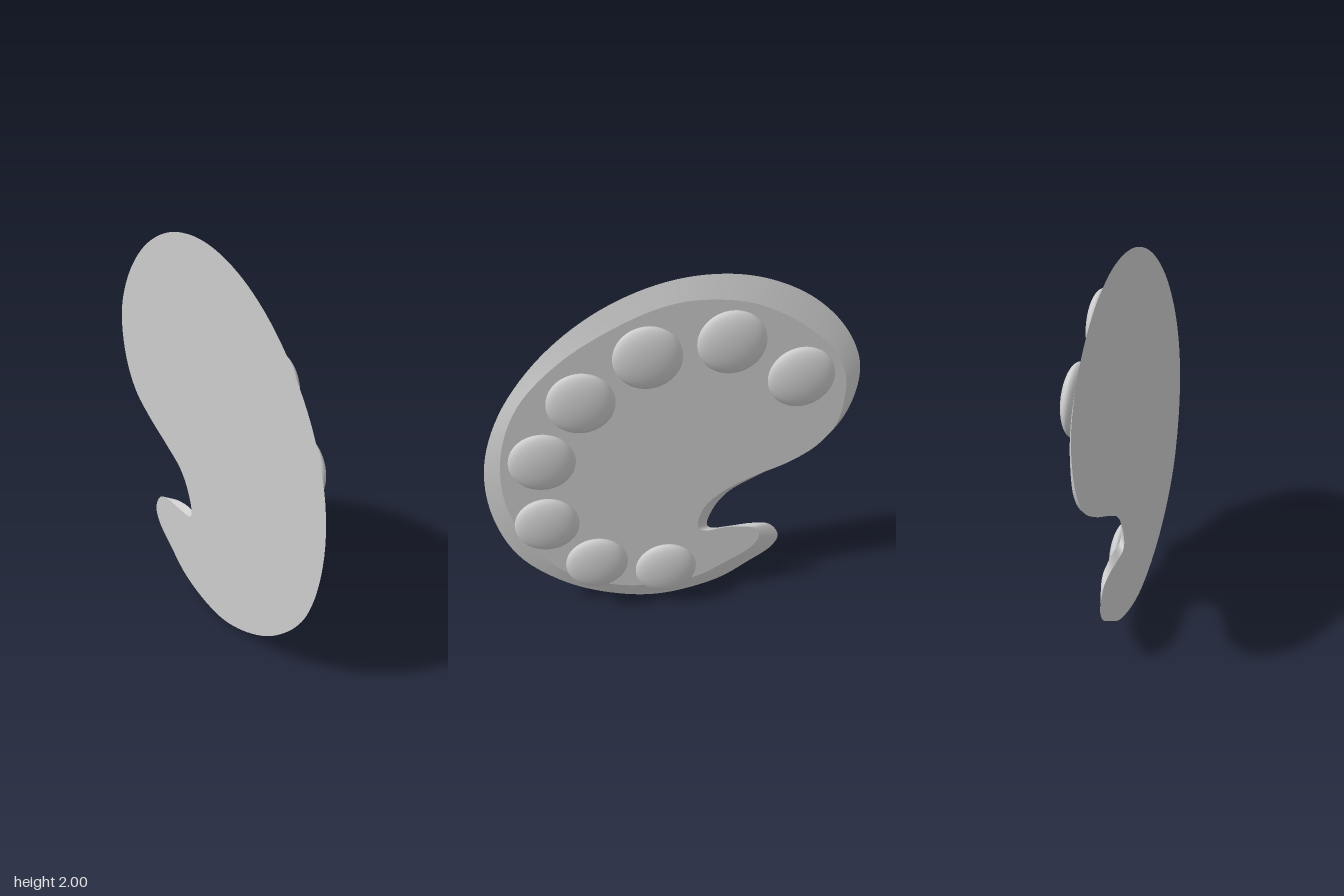
import * as THREE from 'three';

const BACK_X = -0.068, FRONT_X = -0.035, STEPS = 200;

// Board outline, clockwise from the top: back z, back y, front z, front y
const OUTLINE = [
  [-0.17, 2.0, -0.15, 1.89], [-0.42, 1.97, -0.4, 1.85], [-0.66, 1.86, -0.65, 1.71],
  [-0.84, 1.69, -0.82, 1.54], [-0.94, 1.5, -0.875, 1.4], [-0.955, 1.35, -0.88, 1.25],
  [-0.91, 1.16, -0.85, 1.11], [-0.81, 1.01, -0.76, 0.99], [-0.65, 0.9, -0.62, 0.9],
  // thumb notch
  [-0.46, 0.8, -0.42, 0.82], [-0.31, 0.71, -0.26, 0.73], [-0.23, 0.6, -0.17, 0.63],
  [-0.2, 0.49, -0.145, 0.51], [-0.225, 0.465, -0.18, 0.477], [-0.33, 0.465, -0.3, 0.487],
  // lower lobe
  [-0.45, 0.47, -0.39, 0.48], [-0.55, 0.45, -0.46, 0.46], [-0.605, 0.36, -0.49, 0.4],
  [-0.57, 0.28, -0.445, 0.32], [-0.445, 0.185, -0.31, 0.23], [-0.26, 0.07, -0.14, 0.14],
  // round outer side
  [0.07, 0, 0.07, 0.11], [0.35, 0.05, 0.32, 0.14], [0.61, 0.18, 0.59, 0.28],
  [0.83, 0.4, 0.77, 0.52], [0.94, 0.7, 0.86, 0.785], [0.945, 1.02, 0.855, 1.1],
  [0.84, 1.33, 0.75, 1.38], [0.63, 1.62, 0.535, 1.61], [0.365, 1.835, 0.26, 1.78],
  [0.085, 1.96, 0.03, 1.87],
];

// Paint blob centres: z, y
const BLOBS = [
  [-0.63, 1.46], [-0.28, 1.685], [0.12, 1.635], [0.445, 1.41],
  [0.655, 1.08], [0.66, 0.675], [0.415, 0.37], [0.04, 0.28],
];

// Smooth closed loop through one side of the outline
function loop(x, k) {
  const points = OUTLINE.map((p) => new THREE.Vector3(x, p[k + 1], p[k]));
  const curve = new THREE.CatmullRomCurve3(points, true);
  return Array.from({ length: STEPS }, (_, i) => curve.getPoint(i / STEPS));
}

// Flat face filling a loop; side 1 faces +x, side -1 faces -x
function cap(ring, side) {
  const shape = new THREE.Shape(ring.map((p) => new THREE.Vector2(-side * p.z, p.y)));
  return new THREE.ShapeGeometry(shape).rotateY(side * Math.PI / 2).translate(ring[0].x, 0, 0);
}

// Sloping edge joining the two loops
function rim(back, front) {
  const geometry = new THREE.BufferGeometry().setFromPoints([...back, ...front]);
  const index = [];
  for (let i = 0; i < STEPS; i++) {
    const j = (i + 1) % STEPS;
    index.push(i, i + STEPS, j, j, i + STEPS, j + STEPS);
  }
  geometry.setIndex(index);
  geometry.computeVertexNormals();
  return geometry;
}

export function createModel() {
  const model = new THREE.Group();
  model.name = 'paintPalette';
  const grey = new THREE.MeshStandardMaterial({ name: 'lightGrey', color: 0xcccccc });

  const add = (name, geometry, parent) => {
    const mesh = new THREE.Mesh(geometry, grey);
    mesh.name = name;
    parent.add(mesh);
    return mesh;
  };

  // Board with a bevelled edge
  const board = new THREE.Group();
  board.name = 'board';
  model.add(board);
  const back = loop(BACK_X, 0), front = loop(FRONT_X, 2);
  add('boardFront', cap(front, 1), board);
  add('boardBack', cap(back, -1), board);
  add('boardRim', rim(back, front), board);

  // Flattened paint blobs along the round side
  const blob = new THREE.SphereGeometry(1, 48, 32).scale(0.051, 0.167, 0.167);
  BLOBS.forEach(([z, y], i) => {
    add(`paintBlob${i + 1}`, blob, model).position.set(0.017, y, z);
  });
  return model;
}
